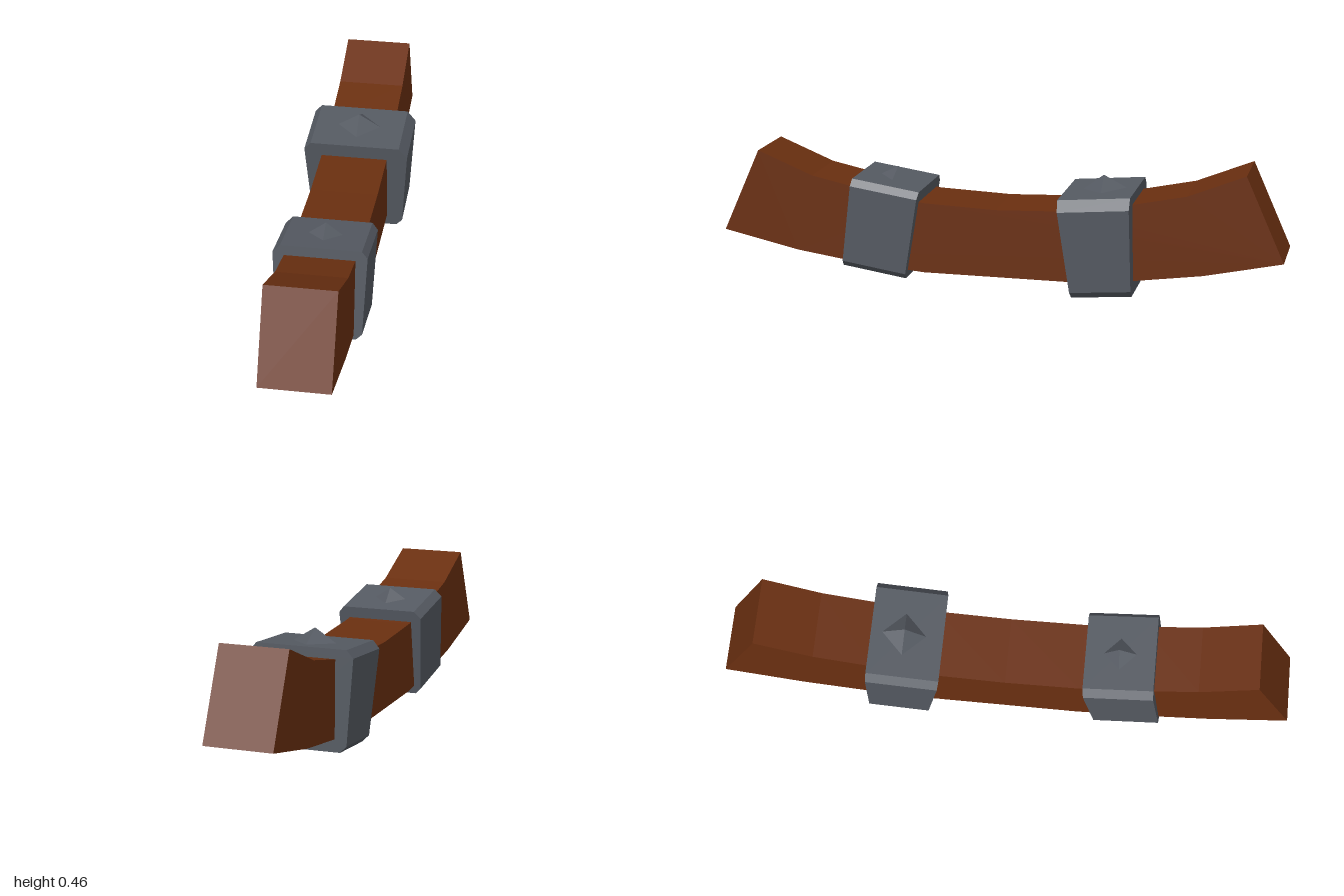
import * as THREE from 'three';

const wood = new THREE.MeshStandardMaterial({ color: 0x6a2f10, flatShading: true });
wood.name = 'brown wood';
const iron = new THREE.MeshStandardMaterial({ color: 0x555a62, flatShading: true });
iron.name = 'grey iron';

const toShape = (pts) => new THREE.Shape(pts.map(([x, y]) => new THREE.Vector2(x, y)));
const extrude = (pts, depth) =>
  new THREE.ExtrudeGeometry(toShape(pts), { depth, bevelEnabled: false }).translate(0, 0, -depth / 2);

function addMesh(parent, name, geometry, material) {
  const mesh = new THREE.Mesh(geometry, material);
  mesh.name = name;
  parent.add(mesh);
  return mesh;
}

// Curved beam: a mirrored side profile (z, y) extruded across x
function createBeam(parent) {
  const bottom = [[0.26, 0.047], [0.5, 0.068], [0.725, 0.1], [1, 0.16]];
  const top = [[0.866, 0.457], [0.667, 0.376], [0.46, 0.332], [0.26, 0.299]];
  const half = [...bottom, ...top];
  const mirrored = half.map(([z, y]) => [-z, y]).reverse();
  const geometry = extrude([...half, [0, 0.289], ...mirrored], 0.238);
  geometry.rotateY(-Math.PI / 2);
  addMesh(parent, 'beam', geometry, wood).position.x = -0.006;
}

// Iron band: chamfered outline, its depth tapering from top to bottom
function createBand(parent, name, { outline, halfHeight, topDepth, bottomDepth, y, z, tilt, spike }) {
  const band = new THREE.Group();
  band.name = name;
  band.position.set(0, y, z);
  band.rotation.x = tilt;
  parent.add(band);

  const geometry = extrude(outline, 1);
  const p = geometry.attributes.position;
  for (let i = 0; i < p.count; i++) {
    const t = (p.getY(i) + halfHeight) / (2 * halfHeight);
    p.setZ(i, p.getZ(i) * THREE.MathUtils.lerp(bottomDepth, topDepth, t));
  }
  geometry.computeVertexNormals();
  addMesh(band, name + 'Collar', geometry, iron);

  // Four-sided stud on top
  const stud = addMesh(band, name + 'Stud', new THREE.ConeGeometry(spike.radius, spike.height, 4), iron);
  stud.position.set(-0.006, halfHeight + spike.height / 2 - 0.002, spike.z);
}

export function createModel() {
  const model = new THREE.Group();
  model.name = 'bandedBeam';
  createBeam(model);

  createBand(model, 'frontBand', {
    outline: [
      [-0.13, -0.162], [0.12, -0.162], [0.141, -0.141], [0.153, 0.138],
      [0.134, 0.162], [-0.138, 0.162], [-0.163, 0.136], [-0.15, -0.141],
    ],
    halfHeight: 0.162, topDepth: 0.245, bottomDepth: 0.232,
    y: 0.2, z: 0.415, tilt: -0.15, spike: { radius: 0.06, height: 0.042, z: -0.001 },
  });

  createBand(model, 'backBand', {
    outline: [
      [-0.144, -0.174], [0.146, -0.176], [0.168, -0.153], [0.187, 0.137],
      [0.157, 0.174], [-0.164, 0.174], [-0.188, 0.147], [-0.167, -0.15],
    ],
    halfHeight: 0.174, topDepth: 0.253, bottomDepth: 0.212,
    y: 0.186, z: -0.368, tilt: 0.085, spike: { radius: 0.08, height: 0.05, z: -0.01 },
  });
  return model;
}
